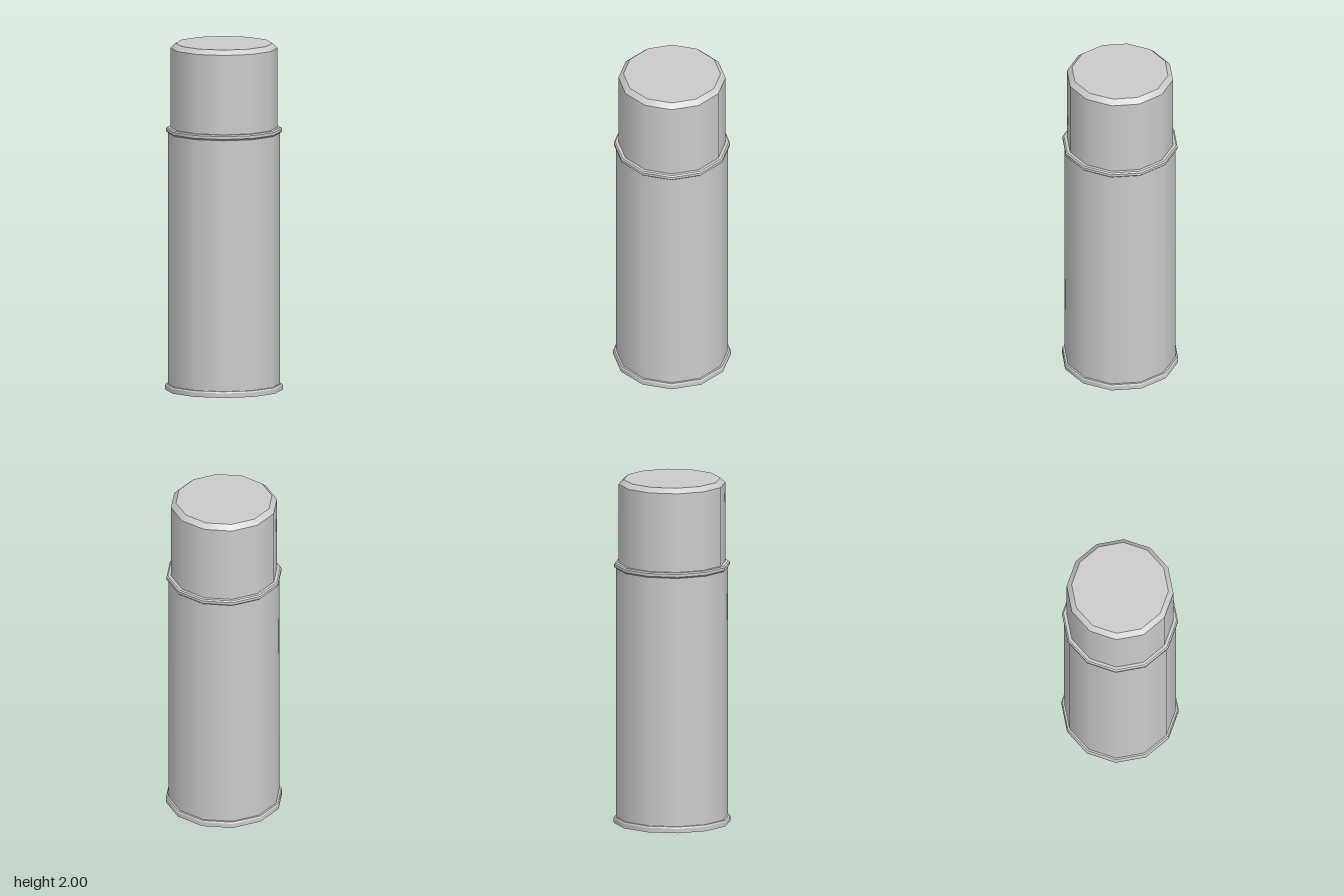
import * as THREE from 'three';
import { mergeGeometries } from 'three/addons/utils/BufferGeometryUtils.js';

const SIDES = 12;
const material = new THREE.MeshStandardMaterial({ color: 0xcccccc });

// One twelve-sided part from [radius, y] points, bottom to top:
// smooth around the axis, with a sharp edge at every profile point.
function turnedPart(name, profile) {
  const bands = [];
  for (let i = 0; i < profile.length - 1; i++) {
    const [r0, y0] = profile[i];
    const [r1, y1] = profile[i + 1];
    if (y0 === y1) {
      // flat disc or shoulder, facing down when it widens and up when it narrows
      const disc = new THREE.CircleGeometry(Math.max(r0, r1), SIDES);
      disc.rotateX(r1 > r0 ? Math.PI / 2 : -Math.PI / 2);
      bands.push(disc.translate(0, y0, 0));
    } else {
      const band = new THREE.CylinderGeometry(r1, r0, y1 - y0, SIDES, 1, true);
      bands.push(band.translate(0, (y0 + y1) / 2, 0));
    }
  }
  const mesh = new THREE.Mesh(mergeGeometries(bands), material);
  mesh.name = name;
  return mesh;
}

export function createModel() {
  const can = new THREE.Group();
  can.name = 'sprayCan';

  // Bottom rim with the closed underside
  can.add(turnedPart('baseRim', [[0, 0], [0.336, 0], [0.336, 0.026], [0.331, 0.035], [0, 0.035]]));

  // Straight can wall
  can.add(turnedPart('body', [[0.32, 0.03], [0.32, 1.49]]));

  // Rolled collar between body and cap
  can.add(turnedPart('collar', [
    [0, 1.483], [0.322, 1.483], [0.332, 1.492], [0.332, 1.508], [0.324, 1.515], [0, 1.515],
  ]));

  // Cap with a chamfered top edge
  can.add(turnedPart('cap', [[0.306, 1.51], [0.306, 1.973], [0.277, 2], [0, 2]]));

  return can;
}
